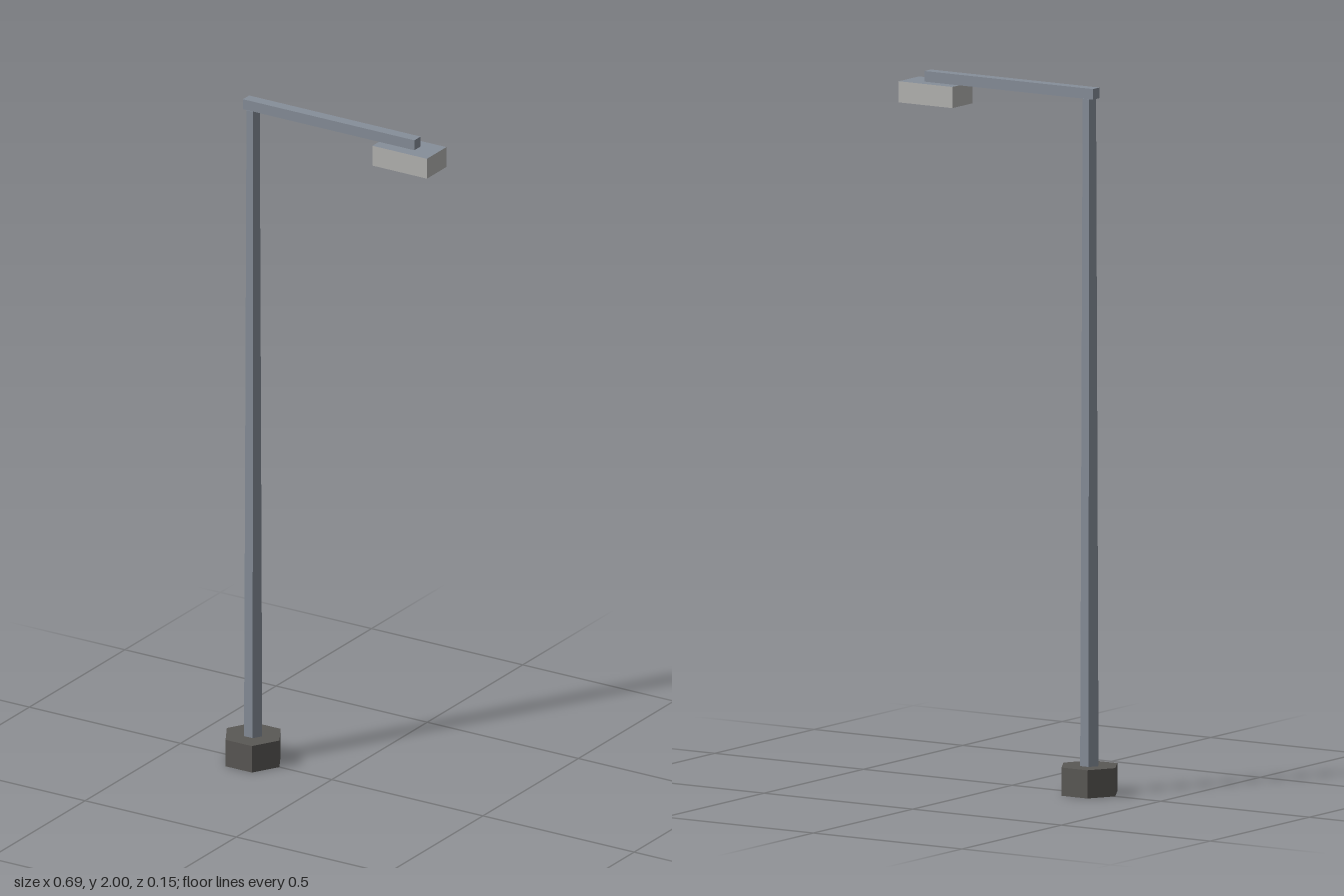
import * as THREE from 'three';

const POLE_X = -0.26;

const paint = (color) => new THREE.MeshStandardMaterial({ color, flatShading: true });

function addPart(group, name, geometry, material, x, y) {
  const mesh = new THREE.Mesh(geometry, material);
  mesh.name = name;
  mesh.position.set(x, y, 0);
  group.add(mesh);
  return mesh;
}

// Six-sided column with its corners pointing along x
function hexColumn(topRadius, bottomRadius, height) {
  return new THREE.CylinderGeometry(topRadius, bottomRadius, height, 6).rotateY(Math.PI / 2);
}

export function createModel() {
  const group = new THREE.Group();
  group.name = 'streetLamp';
  const metal = paint(0x868e99);
  const concrete = paint(0x5a5855);
  const lampGrey = paint(0xb4b4b2);

  // Concrete footing
  addPart(group, 'base', hexColumn(0.087, 0.087, 0.08), concrete, POLE_X, 0.04);

  // Tapered pole, sunk into the footing
  addPart(group, 'pole', hexColumn(0.021, 0.029, 1.96), metal, POLE_X, 0.01 + 0.98);

  // Horizontal arm
  addPart(group, 'arm', new THREE.BoxGeometry(0.567, 0.03, 0.033), metal, 0, 1.985);

  // Lamp head: metal lid, pale sides and underside
  addPart(group, 'lampHead', new THREE.BoxGeometry(0.18, 0.06, 0.102),
    [lampGrey, lampGrey, metal, lampGrey, lampGrey, lampGrey], 0.257, 1.94);

  return group;
}
